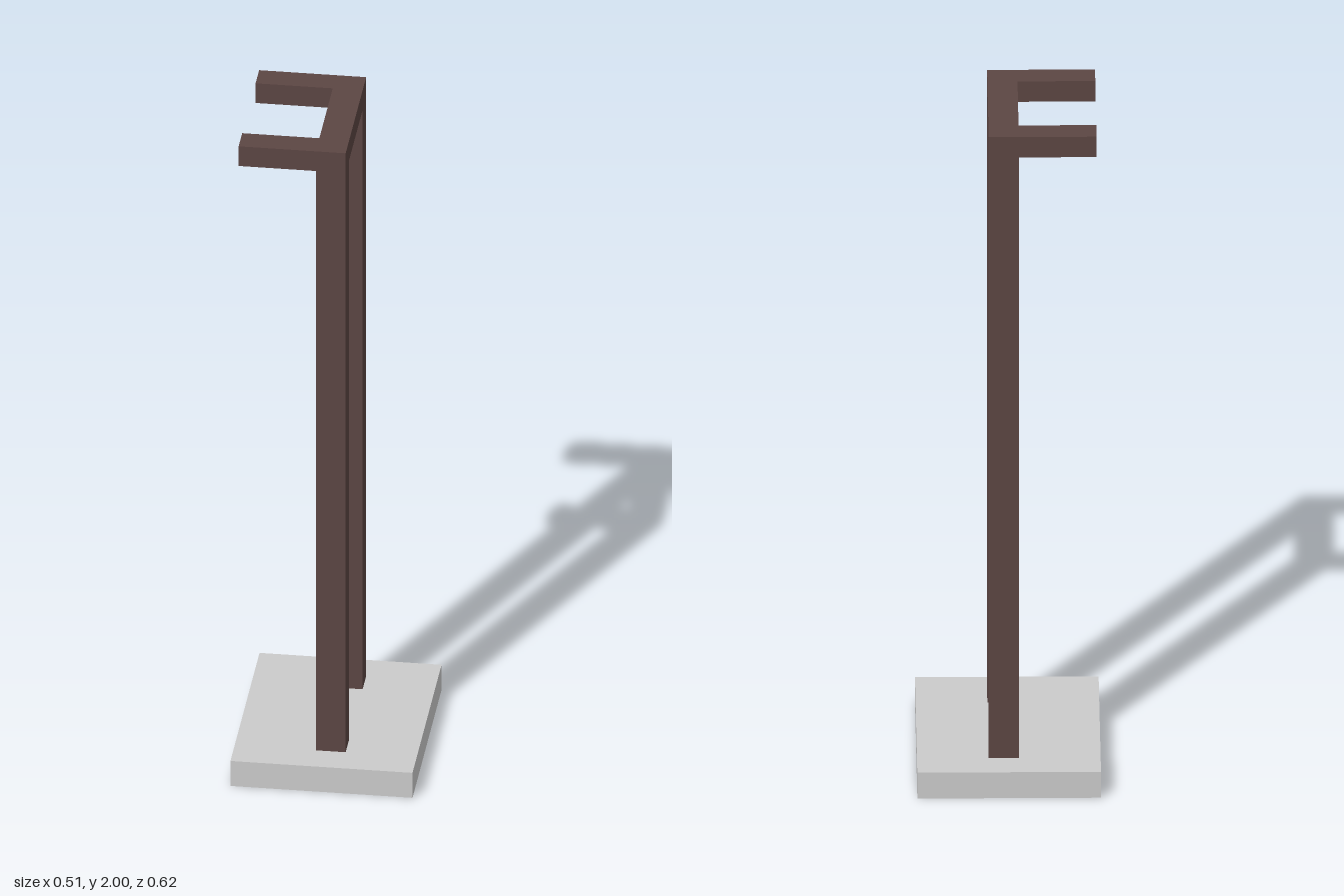
import * as THREE from 'three';

const brown = new THREE.MeshStandardMaterial({ color: 0x5c4643 });
const grey = new THREE.MeshStandardMaterial({ color: 0xcccccc });

const BASE_H = 0.08, TOP = 2, RAIL_BOTTOM = 1.937;
const BACK = 0.056, INNER = -0.028, TIP = -0.245; // x limits of posts and arms
const OUT_Z = 0.217, IN_Z = 0.142;

function box(name, [x0, x1], [y0, y1], [z0, z1], material) {
  const mesh = new THREE.Mesh(new THREE.BoxGeometry(x1 - x0, y1 - y0, z1 - z0), material);
  mesh.position.set((x0 + x1) / 2, (y0 + y1) / 2, (z0 + z1) / 2);
  mesh.name = name;
  return mesh;
}

export function createModel() {
  const model = new THREE.Group();
  model.name = 'stand';

  // Base slab with a dark underside
  const baseSides = [grey, grey, grey, brown, grey, grey];
  model.add(box('base', [-0.256, 0.256], [0, BASE_H], [-0.308, 0.308], baseSides));

  // Two upright posts
  for (const [name, z0, z1] of [['frontPost', IN_Z, OUT_Z], ['backPost', -OUT_Z, -IN_Z]]) {
    model.add(box(name, [INNER, BACK], [BASE_H, RAIL_BOTTOM], [z0, z1], brown));
  }

  // U-shaped top: crossbar with two arms, drawn in plan and extruded upward
  const plan = new THREE.Shape([
    [BACK, -OUT_Z], [BACK, OUT_Z], [TIP, OUT_Z], [TIP, IN_Z],
    [INNER, IN_Z], [INNER, -IN_Z], [TIP, -IN_Z], [TIP, -OUT_Z],
  ].map(([x, z]) => new THREE.Vector2(x, z)));
  const topGeometry = new THREE.ExtrudeGeometry(plan, { depth: TOP - RAIL_BOTTOM, bevelEnabled: false });
  topGeometry.rotateX(-Math.PI / 2);
  const top = new THREE.Mesh(topGeometry, brown);
  top.position.y = RAIL_BOTTOM;
  top.name = 'topCradle';
  model.add(top);

  return model;
}
